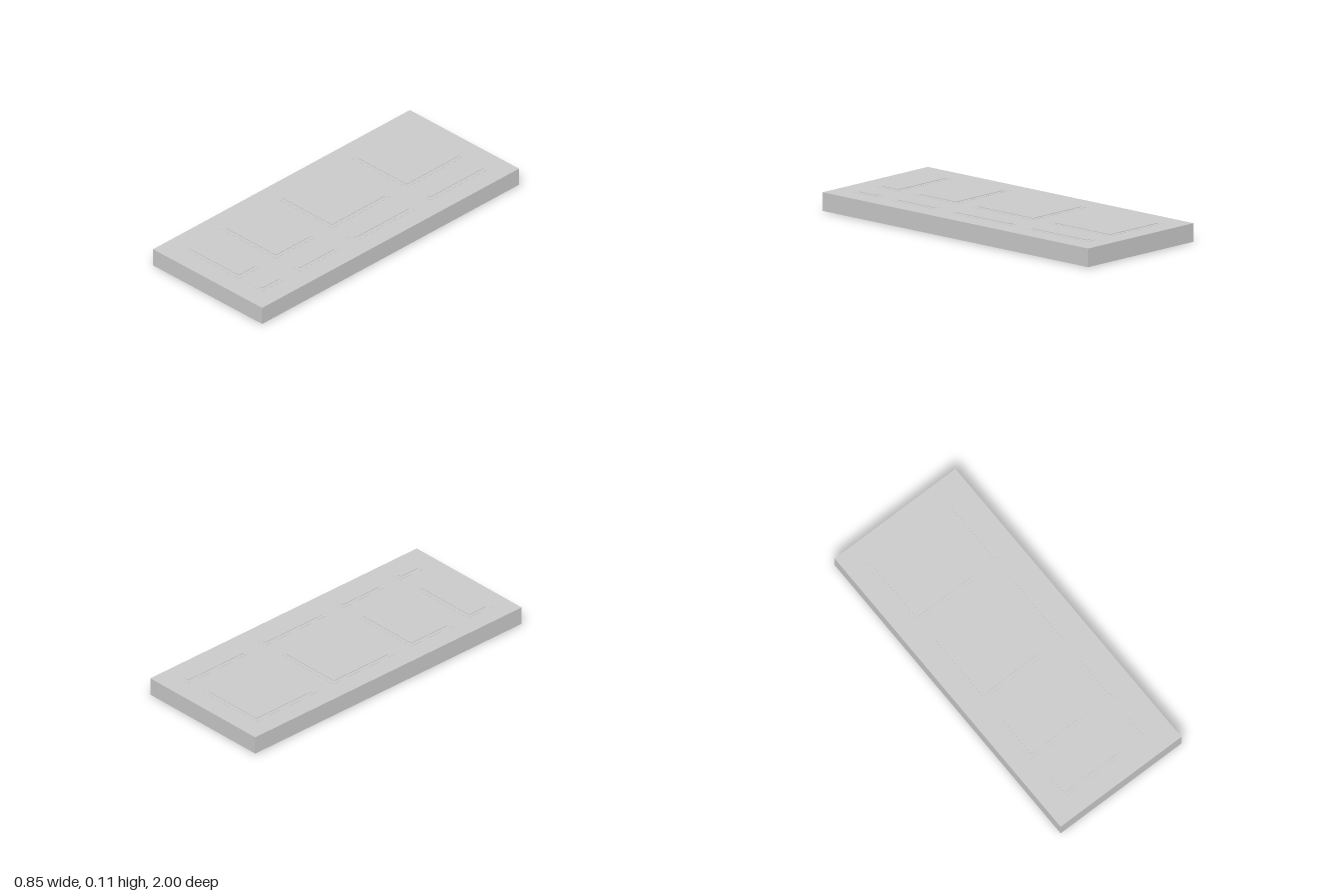
import * as THREE from 'three';

export function createModel() {
  const group = new THREE.Group();
  const material = new THREE.MeshStandardMaterial({ color: 0xcccccc });
  const midY = 0.0565;

  const addBox = (name, x0, x1, z0, z1, height) => {
    const mesh = new THREE.Mesh(new THREE.BoxGeometry(x1 - x0, height, z1 - z0), material);
    mesh.name = name;
    mesh.position.set((x0 + x1) / 2, midY, (z0 + z1) / 2);
    group.add(mesh);
  };

  // Door slab, lying flat
  addBox('doorSlab', -0.423, 0.423, -1, 1, 0.105);

  // Two columns of panels, raised on both faces: a thin lip around a higher field
  const columns = [['wide', -0.308, 0.122], ['narrow', 0.242, 0.307]];
  const rows = [[-0.885, -0.427], [-0.305, 0.155], [0.275, 0.59], [0.71, 0.88]];
  const margin = 0.022;
  for (const [kind, x0, x1] of columns) {
    rows.forEach(([z0, z1], i) => {
      addBox(`${kind}PanelLip${i + 1}`, x0, x1, z0, z1, 0.107);
      addBox(`${kind}Panel${i + 1}`, x0 + margin, x1 - margin, z0 + margin, z1 - margin, 0.113);
    });
  }
  return group;
}
